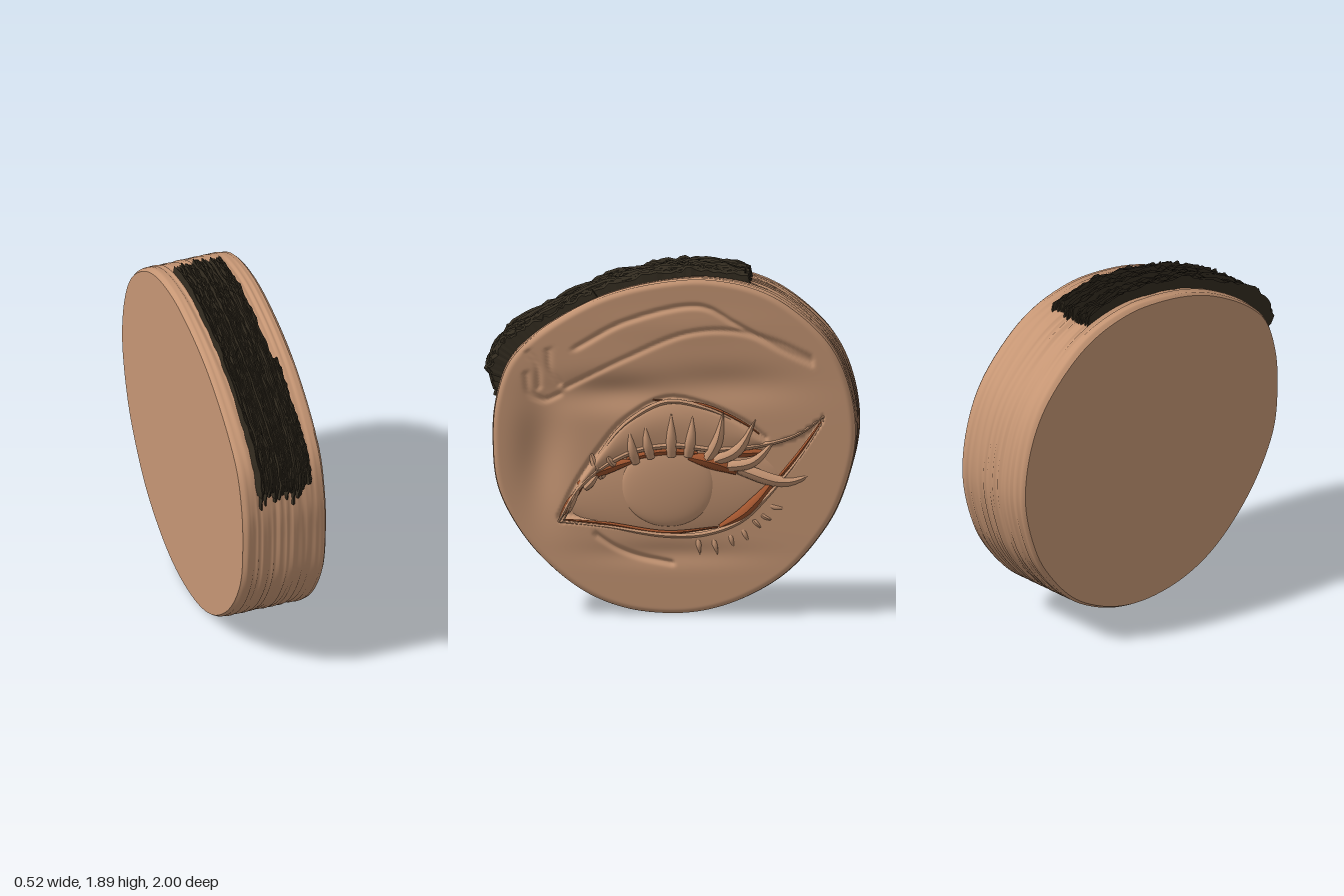
import * as THREE from 'three';

const skin = new THREE.MeshStandardMaterial({ color: 0xc69674 });
skin.name = 'clay skin';
const rust = new THREE.MeshStandardMaterial({ color: 0xa3562f });
rust.name = 'rust eye line';
const dark = new THREE.MeshStandardMaterial({ color: 0x332c20, flatShading: true, side: THREE.DoubleSide });
dark.name = 'dark bristle';

let seed = 7;
const rand = () => (seed = (seed * 16807) % 2147483647) / 2147483647;

// All outlines are [z, y] pairs on the carved side, with an optional x
const curve = (pts, x = 0, closed = false) =>
  new THREE.CatmullRomCurve3(pts.map(p => new THREE.Vector3(p[2] ?? x, p[1], p[0])), closed);

const outline = curve([
  [0, 0.008], [-0.2, 0.03], [-0.4, 0.1], [-0.61, 0.23], [-0.79, 0.43], [-0.9, 0.62], [-0.985, 0.95], [-0.95, 1.25],
  [-0.84, 1.48], [-0.61, 1.69], [-0.42, 1.78], [-0.18, 1.82], [0, 1.81], [0.25, 1.76], [0.46, 1.68], [0.73, 1.51],
  [0.87, 1.36], [0.94, 1.15], [0.955, 0.96], [0.93, 0.7], [0.83, 0.485], [0.675, 0.29], [0.46, 0.12], [0.245, 0.035],
], 0, true);
const upperLid = [[0.605, 0.5], [0.49, 0.69], [0.35, 0.81], [0.19, 0.89], [-0.02, 0.92], [-0.235, 0.9],
  [-0.45, 0.92], [-0.665, 0.98], [-0.84, 1.1]];
const lowerLid = [[0.605, 0.5], [0.35, 0.475], [0.03, 0.43], [-0.18, 0.44], [-0.37, 0.51], [-0.5, 0.63],
  [-0.69, 0.86], [-0.84, 1.1]];
const lidFold = [[0.595, 0.52], [0.51, 0.7], [0.38, 0.9], [0.245, 1.055], [0.03, 1.17], [-0.18, 1.14],
  [-0.4, 1.04], [-0.5, 0.96]];
// Incised lines: [points, depth]
const grooves = [
  [lidFold, 0.03],
  [[[0.4, 0.43], [0.3, 0.365], [0.19, 0.32], [0, 0.28]], 0.02],
  [[[0.51, 1.445], [0.245, 1.59], [-0.155, 1.675], [-0.34, 1.585], [-0.56, 1.46], [-0.75, 1.375]], 0.017],
  [[[0.56, 1.23], [0.245, 1.39], [-0.075, 1.525], [-0.315, 1.545], [-0.56, 1.485], [-0.75, 1.4]], 0.014],
  [[[0.78, 1.3], [0.76, 1.2], [0.68, 1.16], [0.6, 1.19]], 0.012],
  [[[0.77, 1.42], [0.72, 1.34], [0.71, 1.23]], 0.012],
  [[[0.66, 1.43], [0.65, 1.33], [0.6, 1.25]], 0.012],
].map(([pts, depth]) => [curve(pts).getSpacedPoints(180), depth]);

const smooth = THREE.MathUtils.smoothstep;
const sample = pts => curve(pts).getSpacedPoints(80);
const upperPts = sample(upperLid), lowerPts = sample(lowerLid), foldPts = sample(lidFold);
function heightAt(pts, z) {
  for (let i = 1; i < pts.length; i++) {
    const a = pts[i - 1], b = pts[i];
    if (z <= a.z && z >= b.z) return a.y + (b.y - a.y) * (a.z - z) / (a.z - b.z || 1);
  }
  return null;
}
const blob = (z, y, cz, cy, rz, ry) => Math.exp(-(((z - cz) / rz) ** 2) - ((y - cy) / ry) ** 2);

// Relief of the carved side
function relief(z, y) {
  let x = 0.213 + 0.005 * y - 0.05 * blob(z, y, 0.7, 0.85, 0.13, 0.3) - 0.035 * blob(z, y, 0.3, 1.2, 0.3, 0.09)
    - 0.025 * blob(z, y, -0.3, 1.25, 0.35, 0.1) - 0.015 * blob(z, y, 0, 0.33, 0.4, 0.06)
    + 0.005 * blob(z, y, -0.1, 1.57, 0.4, 0.08);
  for (const [pts, depth] of grooves) {
    let d = 1;
    for (const p of pts) d = Math.min(d, (p.z - z) ** 2 + (p.y - y) ** 2);
    x -= depth * Math.exp(-d / 0.0002);
  }
  const u = heightAt(upperPts, z), l = heightAt(lowerPts, z), f = heightAt(foldPts, z);
  if (u !== null && l !== null) x -= 0.075 * smooth(Math.min(u - y, y - l), 0, 0.025);
  if (u !== null && f > u && y > u && y < f) x += 0.012 * Math.sin(Math.PI * (y - u) / (f - u));
  return x;
}

// Surface from rows of cross-sections
function grid(rows, cols, closed, fn) {
  const pos = [], idx = [], n = closed ? cols : cols + 1;
  for (let i = 0; i <= rows; i++) for (let j = 0; j < n; j++) pos.push(...fn(i, j));
  for (let i = 0; i < rows; i++) for (let j = 0; j < cols; j++) {
    const a = i * n + j, d = i * n + (j + 1) % n;
    idx.push(a, a + n, d + n, a, d + n, d);
  }
  const g = new THREE.BufferGeometry();
  g.setAttribute('position', new THREE.Float32BufferAttribute(pos, 3));
  g.setIndex(idx);
  g.computeVertexNormals();
  return g;
}

// Tube whose radius follows a rule along its length
function taperTube(path, radius, segs = 14, sides = 8) {
  const g = new THREE.TubeGeometry(path, segs, 1, sides), p = g.attributes.position, v = new THREE.Vector3();
  for (let k = 0; k < p.count; k++) {
    const t = Math.floor(k / (sides + 1)) / segs, c = path.getPointAt(t);
    v.fromBufferAttribute(p, k).sub(c).multiplyScalar(radius(t)).add(c);
    p.setXYZ(k, v.x, v.y, v.z);
  }
  g.computeVertexNormals();
  return g;
}

export function createModel() {
  const model = new THREE.Group();
  const add = (name, geo, mat, parent = model) => {
    const m = new THREE.Mesh(geo, mat);
    m.name = name;
    parent.add(m);
    return m;
  };
  const group = name => {
    const g = new THREE.Group();
    g.name = name;
    model.add(g);
    return g;
  };

  // Disc: carved face, grooved rim, flat back
  const N = 290, CY = 0.85, R = 125;
  const rim = Array.from({ length: N }, (_, j) => outline.getPoint(j / N));
  const at = (j, s, x) => [x, CY + (rim[j].y - CY) * s, rim[j].z * s];
  add('carvedFace', grid(R, N, true, (i, j) => {
    const s = i / R, p = at(j, s, 0), e = Math.max(0, (s - 0.97) / 0.03);
    p[0] = THREE.MathUtils.lerp(relief(p[2], p[1]), 0.203, e * e);
    return p;
  }), skin);
  const W = 48, ridge = Array.from({ length: W + 1 }, () => rand());
  add('groovedRim', grid(W, N, true, (i, j) => {
    const t = i / W, a = j / N * Math.PI * 2, end = smooth(Math.min(t, 1 - t), 0, 0.05);
    const wave = 0.5 + 0.5 * Math.sin(a * 3 + ridge[i] * 6);
    const s = 1 + end * (0.006 - 0.014 * ridge[i] * wave) - (t > 0.5 ? 0.012 * (1 - end) : 0);
    return at(j, s, 0.203 - 0.463 * t);
  }), skin);
  add('flatBack', grid(1, N, true, (i, j) => at(j, i ? 0 : 0.988, -0.26)), skin);

  // Eyeball and iris dome
  const ball = add('eyeball', new THREE.SphereGeometry(1, 48, 32), skin);
  ball.scale.set(0.075, 0.31, 0.62);
  ball.position.set(0.12, 0.68, 0);
  const iris = add('iris', new THREE.SphereGeometry(1, 48, 32), skin);
  iris.scale.set(0.035, 0.22, 0.25);
  iris.position.set(0.18, 0.695, 0.02);

  // Lid rims and the lip of the fold above
  const lids = group('eyelids');
  add('upperLidRim', taperTube(curve(upperLid, 0.21), t => 0.006 + 0.012 * Math.sin(Math.PI * t), 70), skin, lids);
  add('lowerLidRim', taperTube(curve(lowerLid, 0.207), t => 0.005 + 0.009 * Math.sin(Math.PI * t), 70), skin, lids);
  const foldLip = lidFold.map(([z, y]) => [z * 0.97, y - 0.015]);
  add('foldLip', taperTube(curve(foldLip, 0.207), t => 0.004 + 0.01 * Math.sin(Math.PI * t), 70), skin, lids);

  // Rust lines inside the lids and under the fold
  const lines = group('eyeLines');
  [
    [[[0.5, 0.7], [0.4, 0.765], [0.3, 0.805], [0.2, 0.835]], 0.03],
    [[[0.24, 0.84], [0.05, 0.885], [-0.14, 0.875]], 0.024],
    [[[-0.09, 0.855], [-0.2, 0.835], [-0.28, 0.81], [-0.35, 0.775]], 0.042],
    [[[-0.25, 0.885], [-0.38, 0.88], [-0.5, 0.885]], 0.026],
    [[[-0.26, 0.475], [-0.38, 0.545], [-0.46, 0.62], [-0.54, 0.72]], 0.036],
    [[[-0.5, 0.66], [-0.68, 0.875], [-0.81, 1.06]], 0.011],
    [[[0.58, 0.51], [0.35, 0.49], [0.03, 0.445], [-0.25, 0.475]], 0.011],
    [[[0.595, 0.52], [0.54, 0.61], [0.48, 0.69]], 0.018],
    [[[0.1, 1.165, 0.2], [-0.18, 1.135, 0.2], [-0.4, 1.035, 0.2], [-0.47, 0.985, 0.2]], 0.009],
  ].forEach(([pts, r]) =>
    add('eyeLine', taperTube(curve(pts, 0.193), t => r * (0.4 + 0.6 * Math.sin(Math.PI * t)), 30), rust, lines));

  // Lashes: base, tip, base radius, sideways bend, x of the middle
  const lashes = group('lashes');
  const lash = (bz, by, tz, ty, r, bend, x) => {
    const path = curve([[bz, by, x - 0.025], [(bz + tz) / 2 + bend * 0.4, (by + ty) / 2 - Math.abs(bend), x], [tz, ty, x - 0.004]]);
    add('lash', taperTube(path, t => r * (1 - t) ** 0.7 * (0.8 + 0.5 * Math.sin(Math.PI * t)) + 0.001), skin, lashes);
  };
  [
    [0.56, 0.55, 0.48, 0.72, 0.02, 0, 0.205], [0.46, 0.68, 0.38, 0.78, 0.02, 0.01, 0.208],
    [0.37, 0.74, 0.44, 0.9, 0.024, 0.01, 0.208], [0.29, 0.79, 0.365, 0.91, 0.022, 0.01, 0.212],
    [0.19, 0.82, 0.225, 1.01, 0.026, 0.01, 0.226], [0.11, 0.85, 0.14, 1.035, 0.026, 0.01, 0.228],
    [0, 0.86, 0, 1.1, 0.029, 0, 0.228], [-0.09, 0.86, -0.115, 1.09, 0.029, -0.01, 0.228],
    [-0.19, 0.84, -0.28, 1.11, 0.032, -0.03, 0.228], [-0.22, 0.83, -0.455, 1.07, 0.033, -0.05, 0.225],
    [-0.27, 0.8, -0.57, 0.97, 0.031, -0.05, 0.216], [-0.36, 0.79, -0.82, 0.8, 0.037, -0.07, 0.204],
    [-0.14, 0.43, -0.155, 0.325, 0.016, 0, 0.21], [-0.22, 0.43, -0.25, 0.325, 0.016, 0, 0.21],
    [-0.31, 0.455, -0.335, 0.365, 0.016, 0, 0.21], [-0.37, 0.49, -0.42, 0.39, 0.016, 0, 0.21],
    [-0.42, 0.54, -0.495, 0.46, 0.016, 0, 0.21], [-0.46, 0.57, -0.56, 0.515, 0.016, 0.01, 0.21],
    [-0.5, 0.61, -0.63, 0.585, 0.016, 0.01, 0.21],
  ].forEach(l => lash(...l));

  // Bristle band: jagged strands following the rim, thicker towards the front
  const hair = group('bristleBand');
  const strands = 32, steps = 44;
  for (let k = 0; k < strands; k++) {
    const x = -0.165 + 0.283 * k / (strands - 1), w = 0.008 + rand() * 0.004;
    const from = (k > strands - 4 ? 13.6 : 9.95) + rand() * 0.15, to = 16.45 + rand() * rand() * 0.6;
    const top = 0.04 + rand() * 0.022;
    let h = 0, drift = 0;
    add('bristle', grid(steps, 3, false, (i, j) => {
      const t = i / steps, u = from + (to - from) * t;
      if (j === 0) {
        const thick = top + 0.045 * smooth(u, 14.3, 15.8);
        h = i === 0 ? -0.01 : (thick + (rand() - 0.5) * 0.026) * (1 - 0.75 * smooth(u, 16.3, 16.9));
        drift = (rand() - 0.5) * 0.006;
      }
      const p = outline.getPoint(u / 24), d = outline.getTangent(u / 24);
      const off = j === 0 || j === 3 ? -0.015 : h - (j - 1) * 0.012;
      return [x + drift + w * [-1, -0.6, 0.6, 1][j], p.y + d.z * off, p.z - d.y * off];
    }), dark, hair);
  }
  return model;
}
